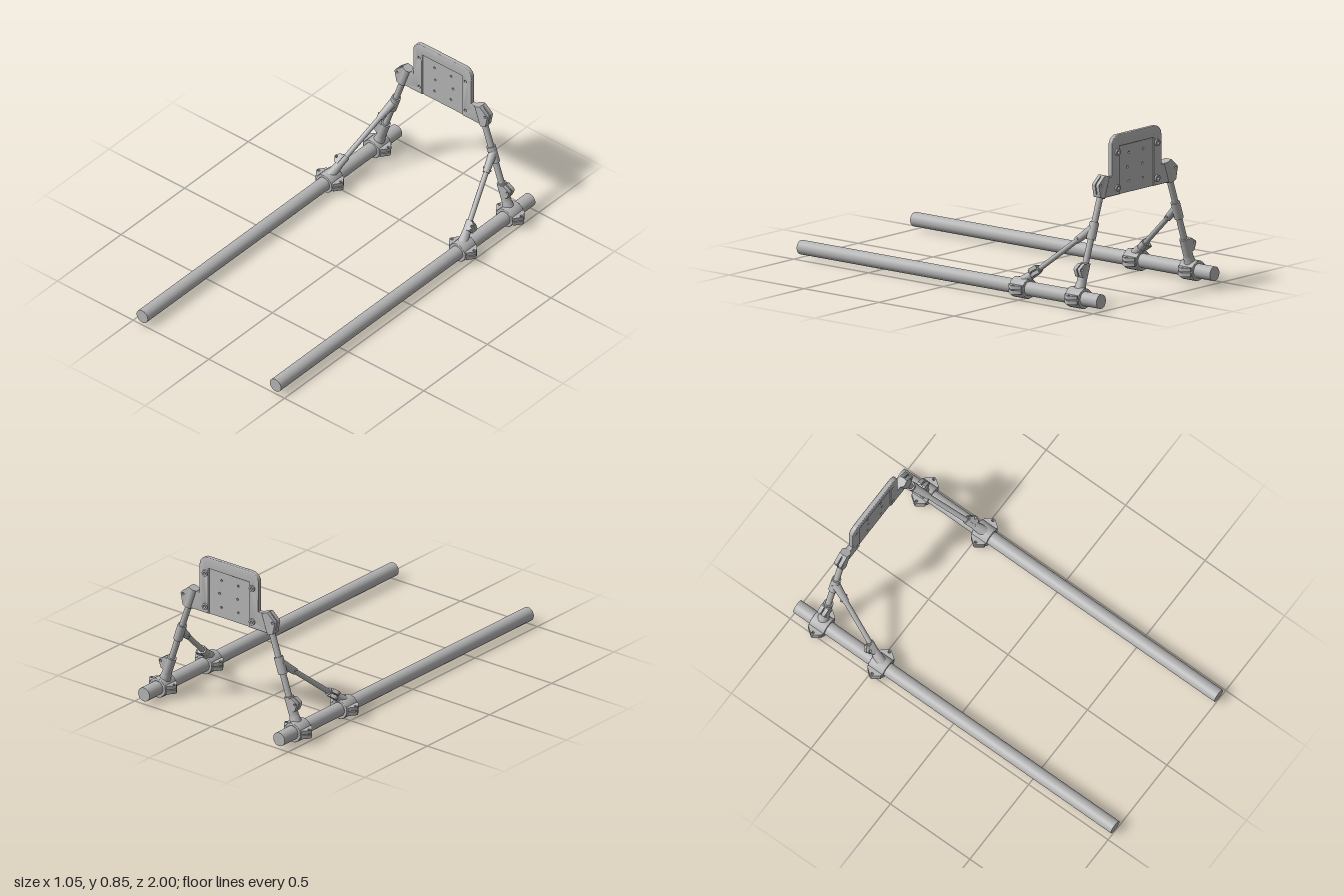
import * as THREE from 'three';
import { toCreasedNormals } from 'three/addons/utils/BufferGeometryUtils.js';

const V = (x, y, z) => new THREE.Vector3(x, y, z);

export function createModel() {
  const model = new THREE.Group();
  model.name = 'railMountedPlateStand';
  const grey = new THREE.MeshStandardMaterial({ color: 0xb3b3b3 });
  grey.name = 'grey';

  const add = (parent, name, geometry) => {
    const mesh = new THREE.Mesh(geometry, grey);
    mesh.name = name;
    parent.add(mesh);
    return mesh;
  };

  // Round bar between two points
  const bar = (parent, name, a, b, r, rEnd = r) => {
    const dir = b.clone().sub(a);
    const mesh = add(parent, name, new THREE.CylinderGeometry(rEnd, r, dir.length(), 32));
    mesh.position.copy(a).lerp(b, 0.5);
    mesh.quaternion.setFromUnitVectors(V(0, 1, 0), dir.normalize());
    return mesh;
  };

  const circle = (x, y, r) => new THREE.Path().absarc(x, y, r, 0, Math.PI * 2, true);

  // Plate centred on local z = 0
  const slab = (shape, depth, bevel = 0) => {
    const g = new THREE.ExtrudeGeometry(shape, {
      depth: depth - 2 * bevel, curveSegments: 10, bevelEnabled: bevel > 0,
      bevelThickness: bevel, bevelSize: bevel, bevelOffset: -bevel, bevelSegments: 3,
    });
    g.translate(0, 0, -depth / 2 + bevel);
    return toCreasedNormals(g, 0.6);
  };

  // Tapered lug with a round tip and a bolt hole
  const lugShape = (root, shoulder, half, tip, tipR) => {
    const s = new THREE.Shape();
    s.moveTo(root, -half);
    s.lineTo(shoulder, -half);
    s.absarc(tip, 0, tipR, -0.7, 0.7, false);
    s.lineTo(shoulder, half);
    s.lineTo(root, half);
    s.closePath();
    s.holes.push(circle(tip, 0, 0.007));
    return s;
  };

  // Split clamp socket around a bar, with its paired lugs pointing outward
  const socket = (name, a, b, r, side, lug) => {
    const g = new THREE.Group();
    g.name = name;
    const y = b.clone().sub(a);
    const length = y.length();
    y.normalize();
    const x = V(side, 0, 0);
    x.addScaledVector(y, -x.dot(y)).normalize();
    const z = x.clone().cross(y);
    g.quaternion.setFromRotationMatrix(new THREE.Matrix4().makeBasis(x, y, z));
    g.position.copy(a);
    add(g, 'sleeve', new THREE.CylinderGeometry(r, r, length, 32)).position.y = length / 2;
    for (const k of [-1, 1]) {
      const ear = add(g, 'lug', slab(lugShape(0, lug.shoulder, lug.half, lug.tip, lug.tipR), 0.02));
      ear.position.set(0, lug.at, k * 0.013);
    }
    model.add(g);
    return g;
  };

  // Split collar around a rail, lugs on both sides
  const railClamp = (name, x, y, z) => {
    const g = new THREE.Group();
    g.name = name;
    g.position.set(x, y, z);
    const ring = new THREE.Shape().absarc(0, 0, 0.053, 0, Math.PI * 2, false);
    ring.holes.push(circle(0, 0, 0.0365));
    add(g, 'collar', slab(ring, 0.092, 0.003));
    for (const side of [-1, 1]) for (const k of [-1, 1]) {
      const s = lugShape(0.04, 0.058, 0.042, 0.073, 0.013);
      const ear = add(g, 'clampLug', slab(s, 0.02));
      ear.rotation.set(-Math.PI / 2, 0, side < 0 ? Math.PI : 0);
      ear.position.y = k * 0.0125;
    }
    model.add(g);
  };

  const railX = 0.44, railY = 0.055, backZ = -0.847, midZ = -0.475, lean = 0.345;

  for (const s of [1, -1]) {
    const label = s > 0 ? 'left' : 'right';
    const onLeg = (y) => V(s * (railX - lean * (y - railY)), y, backZ);
    const foot = V(s * 0.437, 0.085, midZ), head = V(s * 0.326, 0.395, backZ);
    const onStrut = (t) => foot.clone().lerp(head, t);

    // Rail and its two clamps
    bar(model, label + 'Rail', V(s * railX, railY, -1), V(s * railX, railY, 1), 0.037);
    railClamp(label + 'BackClamp', s * railX, railY, backZ);
    railClamp(label + 'MiddleClamp', s * railX, railY, midZ);

    // Upright leg with lower and upper sockets
    bar(model, label + 'Leg', onLeg(0.1), onLeg(0.64), 0.0165);
    bar(model, label + 'LegNeck', onLeg(0.085), onLeg(0.13), 0.032, 0.025);
    socket(label + 'LegSocket', onLeg(0.09), onLeg(0.225), 0.025, s,
      { shoulder: 0.03, half: 0.035, tip: 0.044, tipR: 0.012, at: 0.1 });
    socket(label + 'PlateSocket', onLeg(0.543), onLeg(0.652), 0.026, s,
      { shoulder: 0.023, half: 0.0575, tip: 0.04, tipR: 0.015, at: 0.0577 });

    // Joint where the strut meets the leg
    bar(model, label + 'JointSleeve', onLeg(0.338), onLeg(0.425), 0.024);
    bar(model, label + 'JointBranch', onStrut(1), onStrut(0.77), 0.023, 0.018);
    const p = onStrut(0.81);
    bar(model, label + 'JointScrew', p.clone().add(V(-0.024, 0, 0)), p.clone().add(V(0.024, 0, 0)), 0.006);

    // Diagonal strut and its socket
    bar(model, label + 'Strut', onStrut(0.05), onStrut(0.95), 0.0135);
    bar(model, label + 'StrutNeck', onStrut(-0.02), onStrut(0.14), 0.03, 0.021);
    socket(label + 'StrutSocket', onStrut(0), onStrut(0.25), 0.02, s,
      { shoulder: 0.024, half: 0.026, tip: 0.031, tipR: 0.011, at: 0.092 });
  }

  // Plate frame: rounded top, side arms, opening at the bottom
  const w = 0.192, top = 0.85, base = 0.54, r = 0.05, px = 0.133, py = 0.79, arm = 0.643;
  const frame = new THREE.Shape();
  frame.moveTo(px, base);
  frame.lineTo(0.27, base);
  frame.lineTo(0.235, arm);
  frame.lineTo(w, arm);
  frame.absarc(w - r, top - r, r, 0, Math.PI / 2, false);
  frame.absarc(-w + r, top - r, r, Math.PI / 2, Math.PI, false);
  frame.lineTo(-w, arm);
  frame.lineTo(-0.235, arm);
  frame.lineTo(-0.27, base);
  frame.lineTo(-px, base);
  frame.lineTo(-px, py);
  frame.lineTo(px, py);
  frame.closePath();
  const bolts = [[-0.154, 0.762], [0.152, 0.762], [-0.154, 0.577], [0.152, 0.577]];
  for (const [x, y] of bolts) frame.holes.push(circle(x, y, 0.008));
  add(model, 'plateFrame', slab(frame, 0.026, 0.004)).position.z = backZ;

  // Thin drilled panel set into the frame
  const panel = new THREE.Shape();
  panel.moveTo(-px - 0.003, base);
  panel.lineTo(px + 0.003, base);
  panel.lineTo(px + 0.003, py + 0.003);
  panel.lineTo(-px - 0.003, py + 0.003);
  panel.closePath();
  for (const [x, y] of [[-0.056, 0.744], [0.053, 0.744], [-0.051, 0.67], [-0.056, 0.596], [0.053, 0.596]])
    panel.holes.push(circle(x, y, 0.006));
  const slot = new THREE.Path();
  slot.absarc(0.067, 0.67, 0.006, -Math.PI / 2, Math.PI / 2, false);
  slot.absarc(0.072 - 0.008, 0.67, 0.006, Math.PI / 2, Math.PI * 1.5, false);
  slot.closePath();
  panel.holes.push(slot);
  add(model, 'drilledPanel', slab(panel, 0.012)).position.z = backZ;

  // Raised washers on the back of the plate
  for (const [x, y] of bolts) {
    const washer = new THREE.Shape().absarc(0, 0, 0.017, 0, Math.PI * 2, false);
    washer.holes.push(circle(0, 0, 0.008));
    add(model, 'washer', slab(washer, 0.012)).position.set(x, y, backZ - 0.017);
  }
  return model;
}
